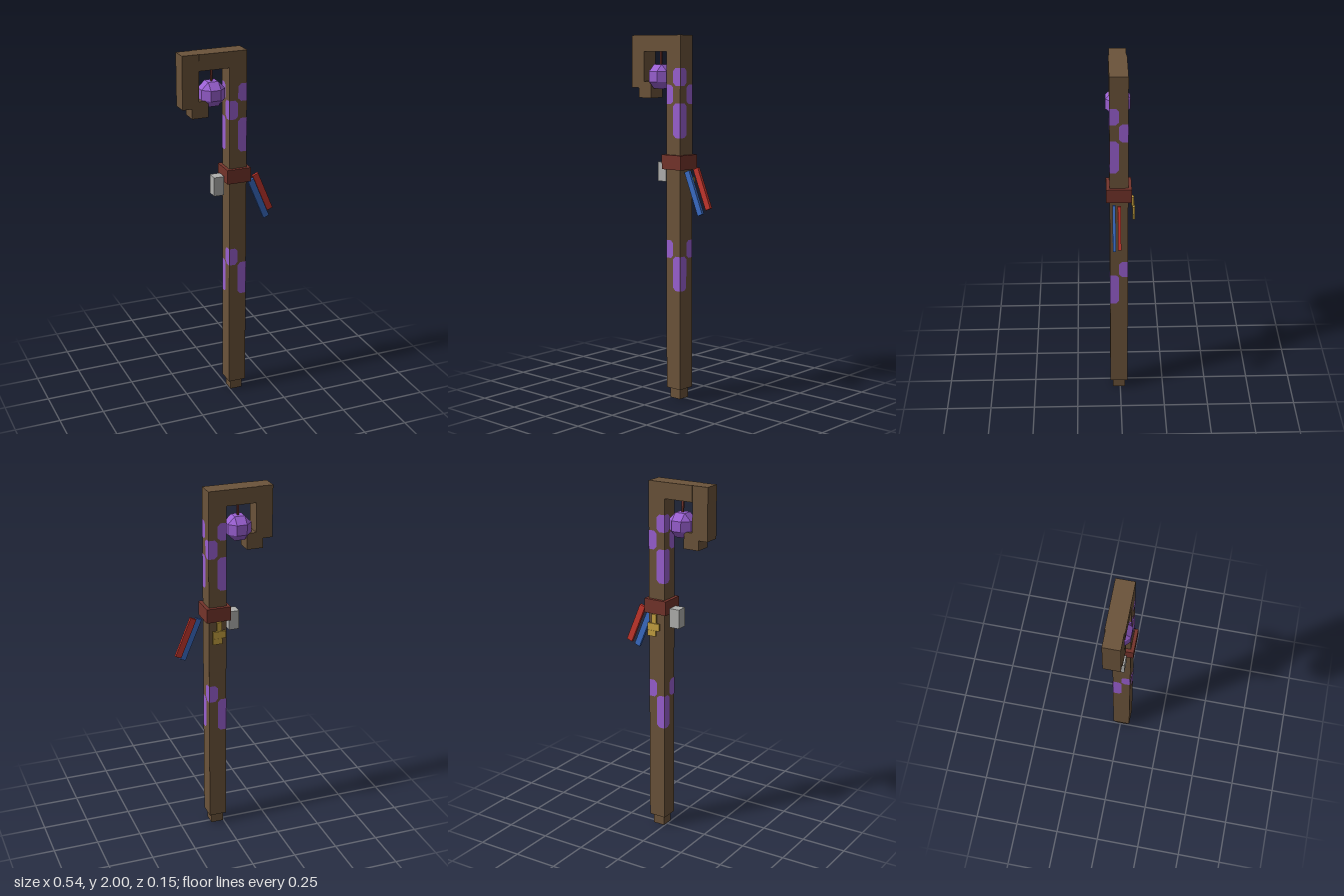
import * as THREE from 'three';
import { ConvexGeometry } from 'three/addons/geometries/ConvexGeometry.js';

const mat = (name, color, extra = {}) => {
  const m = new THREE.MeshStandardMaterial({ color, ...extra });
  m.name = name;
  return m;
};

export function createModel() {
  const root = new THREE.Group();
  root.name = 'hookedStaff';

  const wood = mat('wood brown', 0x6b533a);
  const purple = mat('crystal purple', 0x9a60d2, { flatShading: true });
  const moss = mat('marking purple', 0x9a60d2, { side: THREE.DoubleSide });
  const leather = mat('leather red', 0x74342b);
  const grey = mat('stone grey', 0xb0b0ae);
  const blue = mat('ribbon blue', 0x3a6cc4);
  const red = mat('ribbon red', 0xc4362d);
  const gold = mat('gold', 0xc4a040);

  const add = (name, geometry, material, x = 0, y = 0, z = 0, parent = root) => {
    const m = new THREE.Mesh(geometry, material);
    m.name = name;
    m.position.set(x, y, z);
    parent.add(m);
    return m;
  };
  // Box given by its extents on each axis
  const box = (name, material, [x0, x1], [y0, y1], [z0, z1]) =>
    add(name, new THREE.BoxGeometry(x1 - x0, y1 - y0, z1 - z0), material,
      (x0 + x1) / 2, (y0 + y1) / 2, (z0 + z1) / 2);

  // Shaft, foot and hook
  const cx = 0.0395, cz = 0.0075, half = 0.0495;
  const shaftZ = [cz - half, cz + half], hookZ = [-0.038, 0.053];
  box('shaft', wood, [cx - half, cx + half], [0.058, 2], shaftZ);
  box('foot', wood, [cx - 0.035, cx + 0.035], [0, 0.058], [cz - 0.035, cz + 0.035]);
  box('hookBeam', wood, [-0.178, cx - half], [1.913, 2], shaftZ);
  box('hookDrop', wood, [-0.27, -0.178], [1.714, 2], hookZ);
  box('hookTipSide', wood, [-0.178, -0.127], [1.66, 1.75], hookZ);
  box('hookTipBase', wood, [-0.217, -0.178], [1.66, 1.714], hookZ);

  // Hanging crystal: a cube with cut edges and corners
  const points = [], r = 0.066, f = 0.028;
  for (const a of [-1, 1]) for (const b of [-1, 1]) for (const c of [-1, 1]) {
    points.push(
      new THREE.Vector3(a * r, b * f, c * f),
      new THREE.Vector3(a * f, b * r, c * f),
      new THREE.Vector3(a * f, b * f, c * r));
  }
  add('crystal', new ConvexGeometry(points), purple, -0.092, 1.777, 0.009);
  box('crystalCord', leather, [-0.097, -0.087], [1.835, 1.915], [0.004, 0.014]);

  // Markings wrapping the shaft edges: [side, bottom, top]
  const marks = [
    [1, 1.73, 1.825], [-1, 1.632, 1.735], [1, 1.45, 1.637],
    [-1, 0.792, 0.89], [1, 0.612, 0.803],
  ];
  const cut = 0.016;
  for (let i = 0; i < 4; i++) {
    const face = new THREE.Group();
    face.name = 'shaftMarkings' + (i + 1);
    face.position.set(cx, 0, cz);
    face.rotation.y = i * Math.PI / 2;
    const flip = i % 2 ? -1 : 1;
    for (const [side, y0, y1] of marks) {
      const s = side * flip;
      const shape = new THREE.Shape([
        [half, y0], [half, y1], [cut, y1], [0, y1 - cut], [0, y0 + cut], [cut, y0],
      ].map(([x, y]) => new THREE.Vector2(x * s, y)));
      add('marking', new THREE.ShapeGeometry(shape), moss, 0, 0, half + 0.001, face);
    }
    root.add(face);
  }

  // Collar with the charms tied to it
  box('collar', leather, [cx - 0.068, cx + 0.068], [1.279, 1.358], [cz - 0.068, cz + 0.068]);
  box('stoneCharm', grey, [-0.09, -0.032], [1.207, 1.313], [-0.025, 0.038]);
  const ribbon = (name, material, length, x, y, z) => {
    const m = add(name, new THREE.BoxGeometry(0.0345, length, 0.0165), material, x, y, z);
    m.rotation.z = Math.PI / 8;
  };
  ribbon('redRibbon', red, 0.232, 0.206, 1.183, 0.008);
  ribbon('blueRibbon', blue, 0.248, 0.17, 1.159, 0.035);

  // Gold charm on the back
  box('goldCharmLoop', gold, [0.026, 0.053], [1.225, 1.28], [-0.073, -0.06]);
  box('goldCharmBody', gold, [0.004, 0.077], [1.19, 1.23], [-0.078, -0.066]);
  box('goldCharmTip', gold, [0.026, 0.077], [1.157, 1.19], [-0.079, -0.067]);

  return root;
}
